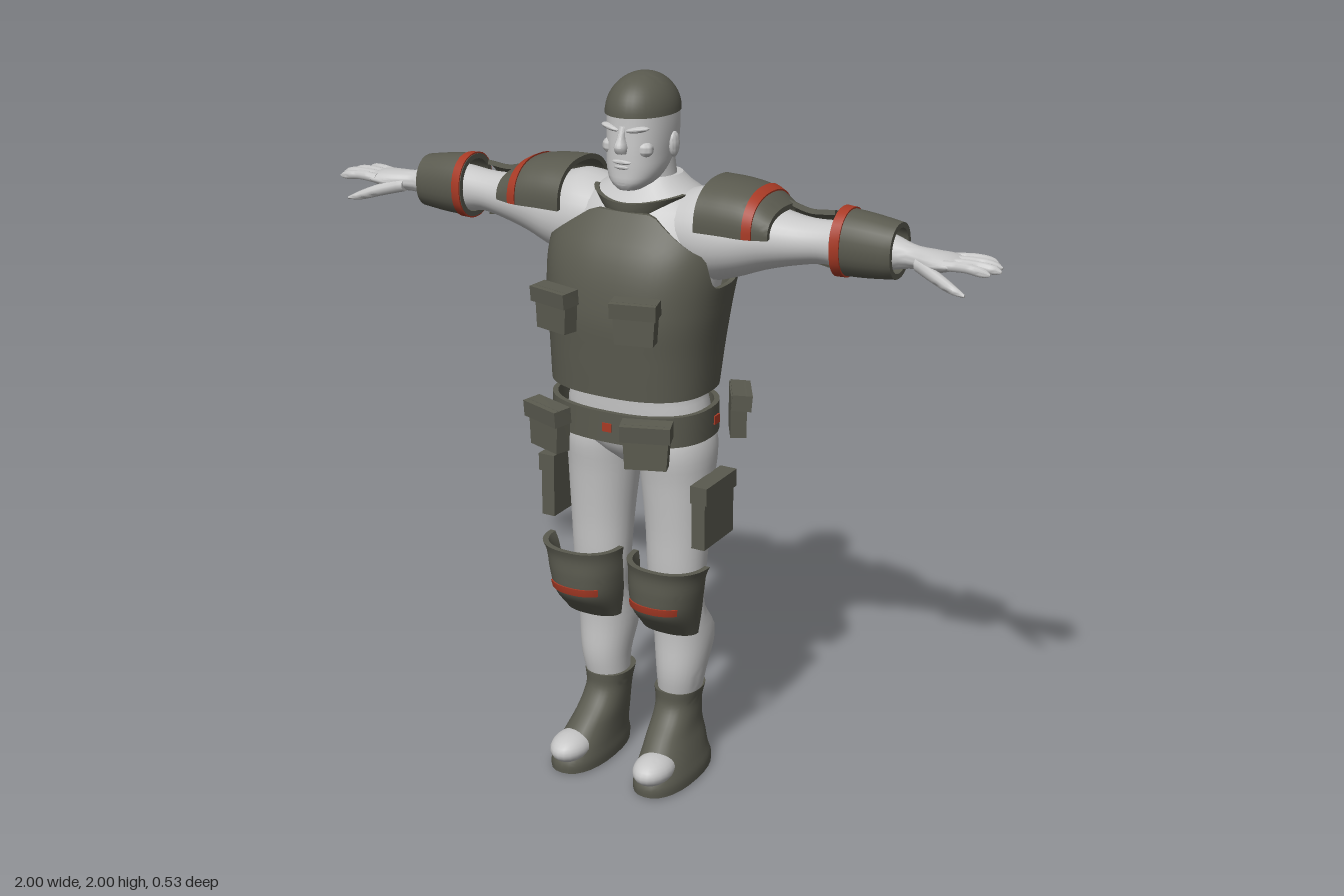
import * as THREE from 'three';
import { toCreasedNormals, mergeGeometries } from 'three/addons/utils/BufferGeometryUtils.js';

const material = (name, color, extra = {}) => Object.assign(new THREE.MeshStandardMaterial({ color, ...extra }), { name });
const D = Math.PI / 180;
const { smoothstep, clamp, lerp } = THREE.MathUtils;

// Smoothly interpolated cross-sections: [position on axis, centreA, centreB, radiusA, radiusB]
function sampler(sections) {
  const it = new THREE.CubicInterpolant(sections.map((s) => s[0]), sections.flatMap((s) => s.slice(1)), 4, new Array(4));
  return (t) => [...it.evaluate(t)];
}

// Skin over cross-sections along 'x' or 'y'. With a thickness it becomes a curved plate over angles a0..a1.
function loft(axis, sections, { n = 28, steps = 18, p = 2, thick = 0, a0 = 0, a1 = 360, top = null } = {}) {
  const at = sampler(sections), start = sections[0][0], end = sections.at(-1)[0];
  const pos = [], idx = [];
  const N = thick ? 2 * (n + 1) : n;
  const pow = (v) => Math.sign(v) * Math.abs(v) ** (2 / p);
  const put = (t, a, b) => (axis === 'y' ? pos.push(a, t, b) : pos.push(t, a, b));
  for (let k = 0; k <= steps; k++) {
    for (let i = 0; i < N; i++) {
      const inner = thick && i > n;
      const th = lerp(a0, a1, (inner ? N - 1 - i : i) / n) * D;
      const c = Math.cos(th), s = Math.sin(th);
      const t = lerp(start, top ? top(c, s) : end, k / steps);
      const [ca, cb, ra, rb] = at(t), d = inner ? thick : 0;
      put(t, ca + (ra - d) * pow(c), cb + (rb - d) * pow(s));
    }
  }
  const tri = (a, b, c) => (axis === 'x' ? idx.push(a, b, c) : idx.push(a, c, b));
  for (let k = 0; k < steps; k++) {
    for (let i = 0; i < N; i++) {
      const a = k * N + i, b = k * N + ((i + 1) % N);
      tri(a, b, a + N);
      tri(b, b + N, a + N);
    }
  }
  const e = steps * N;
  if (thick) {
    for (let i = 0; i < n; i++) {
      const j = N - 1 - i;
      tri(i + 1, i, j); tri(i + 1, j, j - 1);
      tri(e + i, e + i + 1, e + j - 1); tri(e + i, e + j - 1, e + j);
    }
  } else {
    for (const [t, base] of [[start, 0], [end, e]]) {
      const [ca, cb] = at(t), m = pos.length / 3;
      put(t, ca, cb);
      for (let i = 0; i < N; i++) {
        const a = base + i, b = base + ((i + 1) % N);
        base ? tri(a, b, m) : tri(b, a, m);
      }
    }
  }
  const g = new THREE.BufferGeometry();
  g.setAttribute('position', new THREE.Float32BufferAttribute(pos, 3));
  g.setIndex(idx);
  g.computeVertexNormals();
  return g;
}

// Thin painted band lying just outside a plate
function band(axis, sections, from, to, opts) {
  const at = sampler(sections);
  const rows = [from, (from + to) / 2, to].map((t) => {
    const [a, b, ra, rb] = at(t);
    return [t, a, b, ra + 0.004, rb + 0.004];
  });
  return loft(axis, rows, { ...opts, steps: 2, thick: 0.007 });
}

const ball = (x, y, z, rx, ry, rz) => new THREE.SphereGeometry(1, 20, 14).scale(rx, ry, rz).translate(x, y, z);
const box = (w, h, d, x, y, z) => new THREE.BoxGeometry(w, h, d).translate(x, y, z);

// Pouch with a tapered body and an overhanging flap, turned to face outward
function pouch(w, h, d, x, y, z, turn) {
  const body = box(w * 0.94, h, d * 0.8, 0, 0, 0), q = body.attributes.position;
  for (let i = 0; i < q.count; i++) if (q.getY(i) < 0) q.setX(i, q.getX(i) * 0.88);
  const flap = box(w, h * 0.36, d, 0, h * 0.33, d * 0.08).rotateX(0.08);
  return mergeGeometries([body, flap]).rotateY(turn).translate(x, y, z);
}

// Raised round socket with a domed centre, facing the back
const socket = (x, y, z) => mergeGeometries([
  new THREE.TorusGeometry(0.026, 0.009, 10, 24).translate(x, y, z),
  ball(x, y, z, 0.018, 0.018, 0.018),
]);

function mirrored(geo) {
  const g = geo.clone().scale(-1, 1, 1), ix = g.index.array;
  for (let i = 0; i < ix.length; i += 3) [ix[i], ix[i + 1]] = [ix[i + 1], ix[i]];
  return g;
}

export function createModel() {
  const model = new THREE.Group();
  const skin = material('light grey skin', 0xc6c6c6);
  const armour = material('dark olive armour', 0x5a5a4f, { side: THREE.DoubleSide });
  const red = material('red marking', 0xa83a25);
  const add = (name, geo, mat) => {
    const mesh = new THREE.Mesh(toCreasedNormals(geo, 0.75), mat);
    mesh.name = name;
    model.add(mesh);
  };
  const pair = (name, geo, mat) => {
    add(name + 'Left', geo, mat);
    add(name + 'Right', mirrored(geo), mat);
  };

  // Torso, neck and head
  add('torso', loft('y', [
    [0.95, 0, 0.02, 0.035, 0.06], [1.0, 0, -0.005, 0.15, 0.125], [1.07, 0, 0, 0.205, 0.135], [1.16, 0, 0, 0.19, 0.14],
    [1.28, 0, 0, 0.195, 0.15], [1.42, 0, -0.01, 0.215, 0.17], [1.53, 0, -0.04, 0.225, 0.175], [1.61, 0, -0.06, 0.215, 0.155],
    [1.665, 0, -0.06, 0.185, 0.12], [1.7, 0, -0.06, 0.12, 0.095], [1.73, 0, -0.055, 0.09, 0.075]], { p: 2.2, steps: 30 }), skin);
  add('neck', loft('y', [[1.66, 0, -0.05, 0.09, 0.08], [1.72, 0, -0.045, 0.08, 0.072], [1.79, 0, -0.035, 0.076, 0.07]], { steps: 6 }), skin);
  add('head', loft('y', [
    [1.705, 0, 0.045, 0.03, 0.04], [1.72, 0, 0.03, 0.053, 0.066], [1.75, 0, 0.008, 0.073, 0.089], [1.8, 0, -0.014, 0.082, 0.11],
    [1.86, 0, -0.021, 0.086, 0.113], [1.92, 0, -0.02, 0.084, 0.11]], { p: 2.25, n: 36 }), skin);
  add('nose', loft('y', [[1.805, 0, 0.095, 0.015, 0.014], [1.82, 0, 0.095, 0.018, 0.024], [1.845, 0, 0.09, 0.011, 0.018], [1.875, 0, 0.085, 0.01, 0.01]],
    { n: 12, steps: 8 }), skin);
  add('upperLip', ball(0, 1.782, 0.092, 0.028, 0.007, 0.009), skin);
  add('lowerLip', ball(0, 1.768, 0.09, 0.024, 0.007, 0.01), skin);
  add('chin', ball(0, 1.728, 0.078, 0.032, 0.018, 0.02), skin);
  pair('brow', ball(0, 0, 0, 0.032, 0.008, 0.014).rotateZ(0.15).rotateY(0.3).translate(0.04, 1.868, 0.08), skin);
  pair('cheek', ball(0.05, 1.815, 0.06, 0.024, 0.022, 0.022), skin);
  pair('ear', ball(0.087, 1.815, -0.03, 0.011, 0.034, 0.022), skin);
  add('cap', new THREE.SphereGeometry(1, 36, 14, 0, Math.PI * 2, 0, Math.PI / 2).scale(0.093, 0.102, 0.121).translate(0, 1.898, -0.019), armour);

  // Arms and hands
  pair('arm', loft('x', [
    [0.1, 1.59, -0.06, 0.1, 0.12], [0.2, 1.585, -0.06, 0.125, 0.128], [0.27, 1.585, -0.06, 0.108, 0.115], [0.36, 1.595, -0.06, 0.084, 0.09],
    [0.46, 1.6, -0.06, 0.062, 0.067], [0.52, 1.605, -0.06, 0.057, 0.06], [0.6, 1.605, -0.06, 0.065, 0.06], [0.7, 1.605, -0.06, 0.046, 0.046],
    [0.76, 1.602, -0.057, 0.03, 0.036], [0.82, 1.602, -0.046, 0.028, 0.05], [0.87, 1.606, -0.045, 0.019, 0.056], [0.89, 1.607, -0.045, 0.01, 0.05]],
  { steps: 40 }), skin);
  [[-0.084, -0.108, 0.965], [-0.058, -0.072, 0.99], [-0.032, -0.038, 1.0], [-0.006, 0.0, 0.985]].forEach(([z0, z1, tip], i) =>
    pair('finger' + (i + 1), loft('x', [
      [0.86, 1.607, z0, 0.014, 0.015], [0.92, 1.61, lerp(z0, z1, 0.5), 0.013, 0.0125],
      [tip - 0.012, 1.604, z1, 0.01, 0.01], [tip, 1.602, z1, 0.003, 0.003]], { n: 10, steps: 10 }), skin));
  pair('thumb', loft('x', [[0.78, 1.595, -0.03, 0.02, 0.022], [0.84, 1.58, 0.005, 0.018, 0.019], [0.9, 1.56, 0.026, 0.013, 0.014], [0.935, 1.55, 0.034, 0.004, 0.004]],
    { n: 10, steps: 10 }), skin);

  // Legs
  pair('leg', loft('y', [
    [0.2, 0.115, -0.03, 0.055, 0.06], [0.3, 0.123, -0.026, 0.068, 0.076], [0.42, 0.123, -0.042, 0.083, 0.092], [0.52, 0.122, -0.004, 0.077, 0.062],
    [0.6, 0.12, 0, 0.082, 0.072], [0.75, 0.12, -0.005, 0.09, 0.086], [0.9, 0.116, -0.01, 0.1, 0.105], [1.0, 0.112, -0.015, 0.105, 0.122],
    [1.07, 0.1, -0.015, 0.095, 0.112]], { p: 2.1, steps: 34 }), skin);
  pair('calfSocket', socket(0.13, 0.365, -0.122), skin);
  add('backSocket', socket(0, 1.66, -0.188), skin);

  // Boots with pale toes and soles
  pair('boot', loft('y', [
    [0.004, 0.136, 0.045, 0.08, 0.165], [0.03, 0.135, 0.045, 0.08, 0.165], [0.06, 0.132, 0.04, 0.074, 0.15], [0.1, 0.126, 0.02, 0.067, 0.13],
    [0.135, 0.12, 0.004, 0.062, 0.11], [0.175, 0.117, -0.016, 0.06, 0.086], [0.21, 0.115, -0.028, 0.06, 0.076], [0.25, 0.115, -0.033, 0.067, 0.079]],
  { p: 2.3, steps: 24 }), armour);
  pair('toe', ball(0.136, 0.068, 0.15, 0.056, 0.042, 0.08), skin);
  pair('sole', loft('y', [[0, 0.136, 0.045, 0.068, 0.15], [0.008, 0.136, 0.045, 0.068, 0.15]], { p: 2.3, steps: 1 }), skin);

  // Vest: open shell with deep armholes, high front and flared back
  add('vest', loft('y', [
    [1.17, 0, 0.02, 0.228, 0.176], [1.28, 0, 0.01, 0.235, 0.192], [1.4, 0, -0.002, 0.247, 0.206], [1.55, 0, -0.042, 0.257, 0.21], [1.65, 0, -0.08, 0.235, 0.175]],
  { n: 72, steps: 20, p: 2.5, thick: 0.014, top: (cos, s) => {
    const c = Math.abs(cos);
    return s > 0 ? 1.65 - 0.1 * clamp((c - 0.3) / 0.6, 0, 1) - 0.09 * smoothstep(c, 0.88, 1)
      : 1.6 + 0.025 * c - 0.165 * smoothstep(c, 0.82, 1);
  } }), armour);
  add('throatGuard', loft('y', [[1.61, 0, -0.03, 0.085, 0.11], [1.65, 0, -0.03, 0.11, 0.122], [1.69, 0, -0.03, 0.14, 0.125]],
    { a0: 12, a1: 168, thick: 0.012, steps: 8, top: (c) => 1.672 + 0.02 * Math.abs(c) ** 2 }), armour);
  pair('chestPouch', pouch(0.125, 0.115, 0.055, 0.12, 1.405, 0.228, 0.25), armour);

  // Belt and its pouches
  add('belt', loft('y', [[1.04, 0, 0.02, 0.232, 0.17], [1.125, 0, 0.02, 0.232, 0.17]], { n: 48, steps: 2, p: 2.4, thick: 0.014 }), armour);
  pair('frontBeltPouch', pouch(0.135, 0.125, 0.055, 0.15, 1.07, 0.222, 0.35), armour);
  pair('rearBeltPouch', pouch(0.13, 0.125, 0.055, 0.232, 1.07, -0.135, 2.1), armour);
  add('beltMarkFront', box(0.028, 0.024, 0.006, 0.01, 1.083, 0.19), red);
  add('beltMarkBack', box(0.028, 0.024, 0.006, 0, 1.083, -0.15), red);
  pair('beltMarkSide', box(0.006, 0.024, 0.028, 0.232, 1.083, -0.012), red);
  pair('thighCase', mergeGeometries([box(0.04, 0.175, 0.165, 0.238, 0.83, 0.015), box(0.05, 0.05, 0.172, 0.24, 0.9, 0.015)]), armour);

  // Knee pads
  const knee = [[0.46, 0.124, 0.035, 0.085, 0.05], [0.54, 0.125, 0.045, 0.1, 0.115], [0.6, 0.128, 0.055, 0.108, 0.115], [0.66, 0.133, 0.06, 0.114, 0.11], [0.68, 0.136, 0.06, 0.12, 0.116]];
  pair('kneePad', loft('y', knee, { a0: 0, a1: 180, thick: 0.016, p: 2.3 }), armour);
  pair('kneeStripe', band('y', knee, 0.55, 0.572, { a0: 48, a1: 132, p: 2.3 }), red);

  // Shoulder, elbow and forearm armour
  const shoulder = [[0.205, 1.635, -0.054, 0.108, 0.137], [0.28, 1.635, -0.05, 0.106, 0.132], [0.35, 1.632, -0.045, 0.096, 0.122], [0.41, 1.63, -0.04, 0.06, 0.106]];
  pair('shoulderPad', loft('x', shoulder, { a0: -96, a1: 96, thick: 0.014, p: 2.3 }), armour);
  pair('shoulderStripe', band('x', shoulder, 0.343, 0.368, { a0: -95, a1: 95, p: 2.3 }), red);
  pair('elbowPad', loft('x', [[0.4, 1.612, -0.062, 0.086, 0.083], [0.46, 1.61, -0.062, 0.073, 0.076], [0.53, 1.608, -0.062, 0.08, 0.08]],
    { a0: -168, a1: -12, thick: 0.013, steps: 10 }), armour);
  const bracer = [[0.56, 1.615, -0.06, 0.088, 0.081], [0.64, 1.613, -0.06, 0.083, 0.075], [0.72, 1.61, -0.062, 0.073, 0.066]];
  pair('bracer', loft('x', bracer, { thick: 0.014, steps: 8, p: 2.2 }), armour);
  pair('bracerStripe', band('x', bracer, 0.562, 0.588, { p: 2.2 }), red);

  return model;
}
